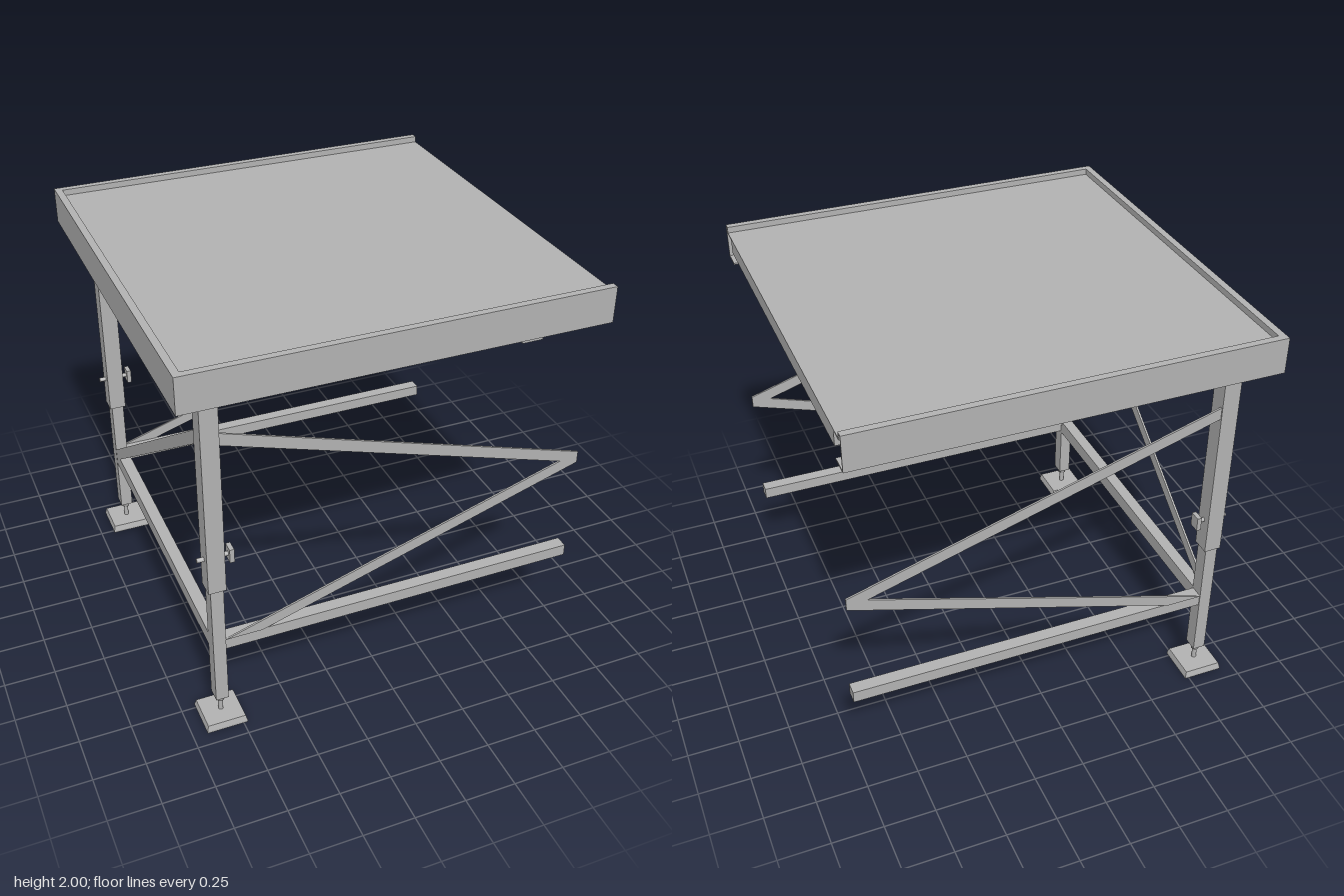
import * as THREE from 'three';

const steel = new THREE.MeshStandardMaterial({ color: 0xb2b2b2 });
steel.name = 'grey steel';

export function createModel() {
  const model = new THREE.Group();
  model.name = 'stagePlatform';

  function add(name, geometry, parent = model) {
    const mesh = new THREE.Mesh(geometry, steel);
    mesh.name = name;
    parent.add(mesh);
    return mesh;
  }

  // Box given by its lower and upper limits on each axis
  function box(name, x0, x1, y0, y1, z0, z1, parent) {
    const g = new THREE.BoxGeometry(x1 - x0, y1 - y0, z1 - z0);
    g.translate((x0 + x1) / 2, (y0 + y1) / 2, (z0 + z1) / 2);
    return add(name, g, parent);
  }

  // Flat strip with vertically cut ends, drawn in the xy plane
  function strip(name, points, depth) {
    const shape = new THREE.Shape(points.map(([x, y]) => new THREE.Vector2(x, y)));
    const g = new THREE.ExtrudeGeometry(shape, { depth, bevelEnabled: false });
    return add(name, g);
  }

  // Deck sheet and the joists under it
  box('deckPanel', -0.97, 1, 1.962, 1.97, -0.97, 0.97);
  for (const x of [-0.03, 0.94]) box('joist', x, x + 0.06, 1.89, 1.962, -0.9, 0.9);

  // Folded edge rail: lip, lip drop, web and bottom flange; mitred at the closed corners
  const t = 0.008;
  const profile = [
    [0, 1.825], [0.1, 1.825], [0.1, 1.825 + t], [t, 1.825 + t], [t, 2 - t],
    [0.035 - t, 2 - t], [0.035 - t, 1.962], [0.035, 1.962], [0.035, 2], [0, 2],
  ];
  function rail(name, mitreStart, mitreEnd) {
    const shape = new THREE.Shape(profile.map(([d, y]) => new THREE.Vector2(d, y)));
    const g = new THREE.ExtrudeGeometry(shape, { depth: 2, bevelEnabled: false });
    g.translate(0, 0, -1);
    const p = g.attributes.position;
    for (let i = 0; i < p.count; i++) {
      const d = p.getX(i), z = p.getZ(i);
      if (z < 0 && mitreStart) p.setZ(i, -1 + d);
      if (z > 0 && mitreEnd) p.setZ(i, 1 - d);
    }
    g.translate(-1, 0, 0);
    g.computeVertexNormals();
    return add(name, g);
  }
  rail('endRail', true, true);
  rail('frontRail', true, false).rotation.y = Math.PI / 2;
  rail('backRail', false, true).rotation.y = -Math.PI / 2;

  // Legs with screw feet, clamp knobs and head plates
  for (const side of [1, -1]) {
    const leg = new THREE.Group();
    leg.name = side > 0 ? 'frontLeg' : 'backLeg';
    leg.position.set(-0.83, 0, side * 0.832);
    model.add(leg);

    box('upperTube', -0.042, 0.042, 0.785, 1.81, -0.045, 0.045, leg);
    box('lowerTube', -0.031, 0.031, 0.13, 0.79, -0.037, 0.037, leg);
    box('legSocket', -0.05, 0.05, 1.84, 1.89, -0.058, 0.058, leg);
    box('headPlate', -0.055, 0.045, 1.805, 1.84, -0.055, 0.055, leg);
    box('lockTab', -0.08, -0.05, 1.8, 1.83, 0.05, 0.112, leg);

    const nut = add('screwNut', new THREE.CylinderGeometry(0.028, 0.02, 0.03, 8), leg);
    nut.position.y = 0.115;
    const screw = add('footScrew', new THREE.CylinderGeometry(0.012, 0.012, 0.11, 12), leg);
    screw.position.y = 0.085;

    // Square foot: straight base with slightly sloping sides
    const foot = add('footPlate', new THREE.CylinderGeometry(0.093 * Math.SQRT2, 0.1 * Math.SQRT2, 0.028, 4).toNonIndexed(), leg);
    foot.geometry.computeVertexNormals();
    foot.rotation.y = Math.PI / 4;
    foot.position.y = 0.024;
    box('footBase', -0.1, 0.1, 0, 0.01, -0.1, 0.1, leg);

    const pin = add('clampPin', new THREE.CylinderGeometry(0.011, 0.011, 0.16, 12), leg);
    pin.rotation.z = Math.PI / 2;
    pin.position.set(0.005, 0.953, 0);
    box('clampKnob', 0.07, 0.092, 0.918, 0.988, -0.028, 0.028, leg);

    // Long horizontal tube and zigzag braces along the side
    box('sideTube', -0.8, 1, 0.43, 0.49, side * 0.832 - 0.032, side * 0.832 + 0.032);
    const braces = [
      strip('upperBrace', [[-0.8, 1.558], [1, 1.0], [1, 1.06], [-0.8, 1.618]], 0.01),
      strip('lowerBrace', [[-0.8, 0.49], [-0.62, 0.49], [1, 1.0], [1, 1.06]], 0.01),
    ];
    for (const b of braces) b.position.z = side * 0.866 - 0.005;
  }

  // Cross tube and diagonal between the two legs
  box('crossTube', -0.86, -0.8, 0.42, 0.495, -0.8, 0.8);
  const diagonal = strip('crossBrace', [[-0.79, 1.535], [0.72, 0.495], [0.8, 0.495], [0.8, 0.51], [-0.79, 1.605]], 0.01);
  diagonal.rotation.y = Math.PI / 2;
  diagonal.position.x = -0.86;

  // Coupling tab under the front rail
  box('couplingTab', 0.55, 0.65, 1.812, 1.826, 0.885, 0.995);

  return model;
}
